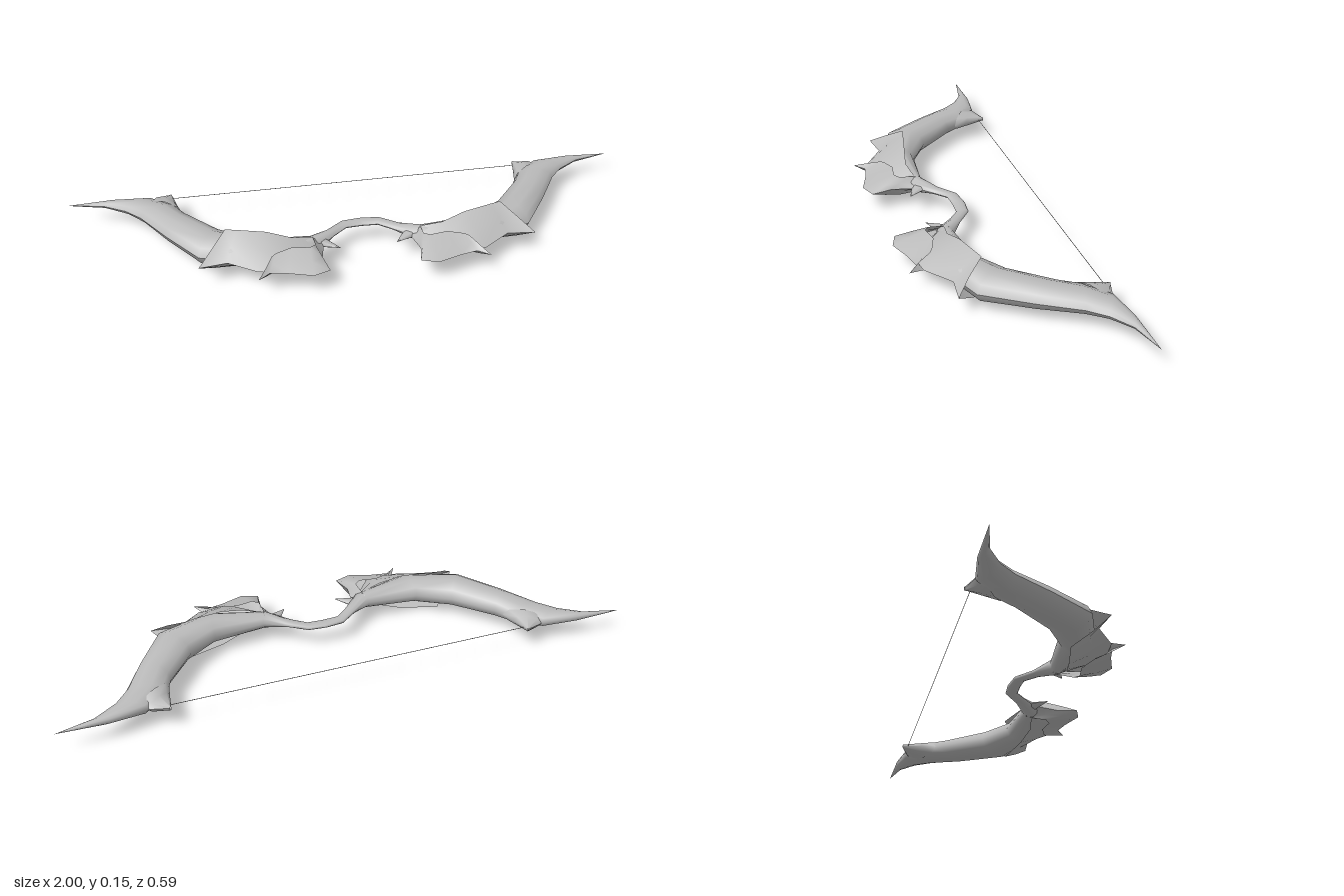
import * as THREE from 'three';

const Y0 = 0.073; // height of the bow's flat symmetry plane

// Smooth surface through rows of points; side = -1 mirrors it in x
function surface(rows, side, material, name) {
  const n = rows[0].length, index = [];
  const pos = rows.flat().flatMap(([x, y, z]) => [x * side, y, z]);
  for (let i = 0; i < rows.length - 1; i++) {
    for (let k = 0; k < n - 1; k++) {
      const a = i * n + k, b = a + 1, c = a + n, d = c + 1;
      if (side > 0) index.push(a, c, b, b, c, d);
      else index.push(a, b, c, b, d, c);
    }
  }
  const g = new THREE.BufferGeometry();
  g.setAttribute('position', new THREE.Float32BufferAttribute(pos, 3));
  g.setIndex(index);
  g.computeVertexNormals();
  const mesh = new THREE.Mesh(g, material);
  mesh.name = name;
  return mesh;
}

// Oval tube; each section is [inner x, inner z, outer x, outer z, half height]
function loft(sections, side, material, name, sides = 10) {
  const rows = sections.map(([ix, iz, ox, oz, h]) => {
    const ring = [];
    for (let k = 0; k <= sides; k++) {
      const t = (k / sides) * Math.PI * 2, c = (1 + Math.cos(t)) / 2;
      ring.push([ix + (ox - ix) * c, Y0 + h * Math.sin(t), iz + (oz - iz) * c]);
    }
    return ring;
  });
  return surface(rows, side, material, name);
}

// V-shaped plate; each column is [ridge x, ridge z, wing x, wing z, wing height]
function plate(columns, side, material, name) {
  const group = new THREE.Group();
  group.name = name;
  for (const up of [1, -1]) {
    const ridge = columns.map(([x, z]) => [x, Y0, z]);
    const mid = columns.map(([x, z, wx, wz, h]) =>
      [(x + wx) / 2, Y0 + up * h * 0.52, (z + wz) / 2 + 0.004]);
    const wing = columns.map(([, , wx, wz, h]) => [wx, Y0 + up * h, wz]);
    const rows = up > 0 ? [ridge, mid, wing] : [wing, mid, ridge];
    group.add(surface(rows, side, material, up > 0 ? 'upperFace' : 'lowerFace'));
  }
  return group;
}

const LIMB = [
  [0, -0.02, 0, 0.025, 0.009],
  [0.065, -0.013, 0.055, 0.028, 0.009],
  [0.13, 0.038, 0.10, 0.067, 0.01],
  [0.20, 0.08, 0.165, 0.13, 0.028],
  [0.38, 0.06, 0.37, 0.19, 0.045],
  [0.485, -0.01, 0.57, 0.12, 0.05],
  [0.59, -0.14, 0.67, -0.03, 0.042],
  [0.62, -0.20, 0.75, -0.165, 0.034],
  [0.70, -0.275, 0.80, -0.22, 0.026],
  [0.82, -0.293, 0.875, -0.268, 0.014],
  [1.0, -0.295, 1.0, -0.295, 0],
];
const NOCK = [
  [0.605, -0.17, 0.72, -0.25, 0.03],
  [0.617, -0.22, 0.70, -0.275, 0.023],
  [0.633, -0.295, 0.637, -0.293, 0.007],
];
const SPUR = [
  [0.168, 0.125, 0.14, 0.078, 0.013],
  [0.095, 0.15, 0.095, 0.15, 0],
];
const ARMOR = [
  [0.575, 0.18, 0.475, 0.075, 0.073],
  [0.48, 0.168, 0.44, 0.083, 0.072],
  [0.385, 0.238, 0.34, 0.105, 0.066],
  [0.27, 0.25, 0.26, 0.122, 0.045],
  [0.17, 0.13, 0.19, 0.11, 0.03],
];
const FANG = [
  [0.39, 0.285, 0.335, 0.20, 0.03],
  [0.35, 0.252, 0.32, 0.19, 0.034],
  [0.29, 0.265, 0.265, 0.17, 0.037],
  [0.21, 0.293, 0.205, 0.18, 0.037],
  [0.152, 0.272, 0.185, 0.165, 0.035],
  [0.167, 0.20, 0.185, 0.125, 0.032],
  [0.145, 0.10, 0.19, 0.09, 0.025],
];

export function createModel() {
  const bow = new THREE.Group();
  bow.name = 'bow';
  const grey = new THREE.MeshStandardMaterial({ color: 0xbcbcbc, side: THREE.DoubleSide });
  grey.name = 'grey';

  // Two mirrored halves: limb with grip, nock, spur and front plates
  for (const side of [1, -1]) {
    const half = new THREE.Group();
    half.name = side > 0 ? 'leftHalf' : 'rightHalf';
    half.add(
      loft(LIMB, side, grey, 'limb'),
      loft(NOCK, side, grey, 'nock', 8),
      loft(SPUR, side, grey, 'spur', 6),
      plate(ARMOR, side, grey, 'armorPlate'),
      plate(FANG, side, grey, 'fangPlate'),
    );
    bow.add(half);
  }

  // Taut string between the nocks
  const string = new THREE.Mesh(new THREE.BoxGeometry(1.3, 0.0015, 0.0015), grey);
  string.name = 'string';
  string.position.set(0, Y0, -0.275);
  bow.add(string);
  return bow;
}
